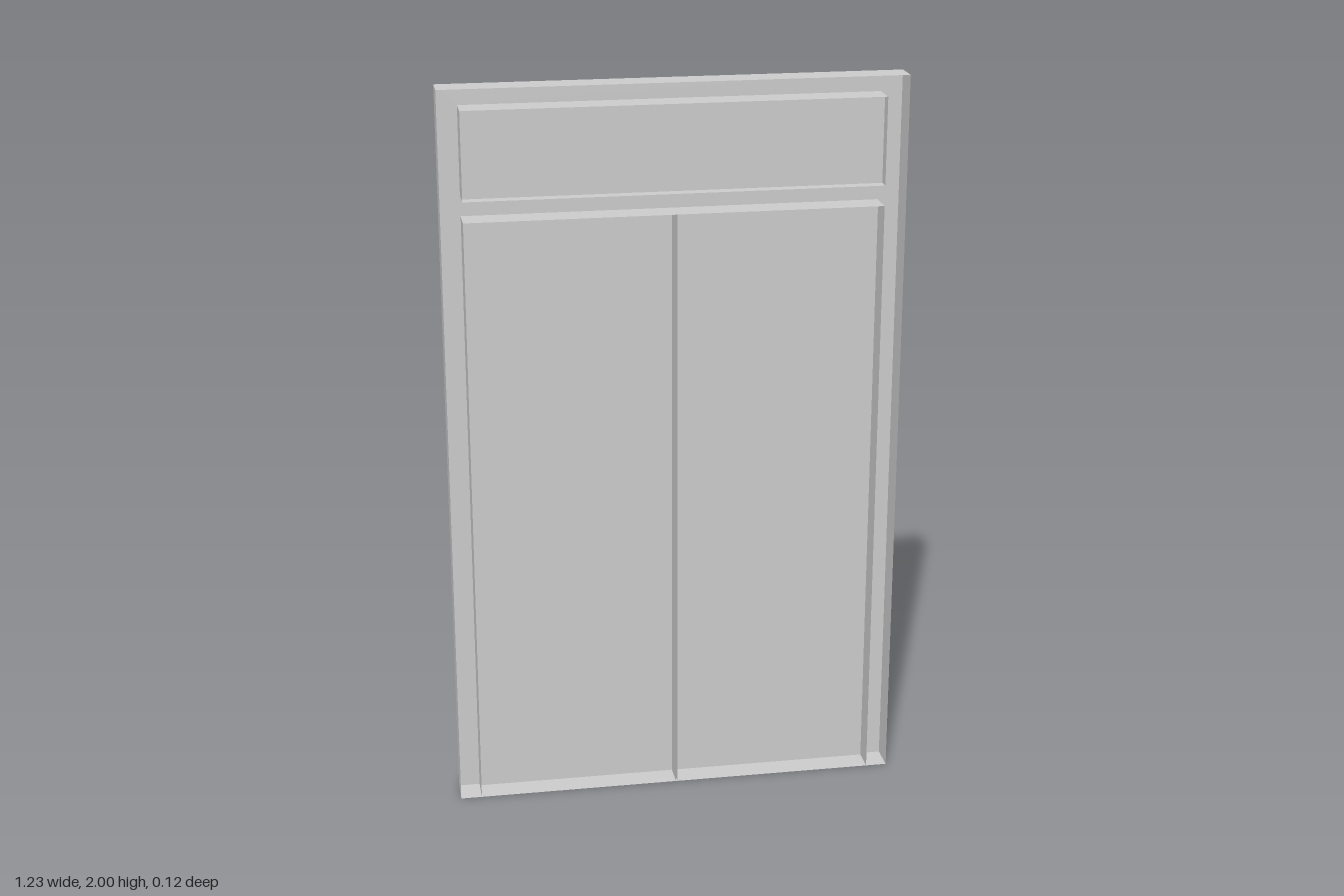
import * as THREE from 'three';

const material = new THREE.MeshStandardMaterial({ color: 0xcccccc, side: THREE.DoubleSide, flatShading: true });

// Depths, from the open front to the knobs at the back
const FRONT = 0.058, TRANSOM = 0.026, LEAF = -0.01, BACK = -0.019;
const PANEL = -0.022, IRON = -0.031, KNOB = -0.058;

// Outline sizes
const W = 0.613, H = 2, IN = 0.555, GAP = 0.002;
const DOOR_TOP = 1.655, LIGHT_LOW = 1.71, LIGHT_TOP = 1.945;

function add(parent, name, geometry) {
  const mesh = new THREE.Mesh(geometry, material);
  mesh.name = name;
  parent.add(mesh);
  return mesh;
}

// Flat sheet facing the back
function sheet(parent, name, x0, x1, y0, y1, z) {
  const g = new THREE.PlaneGeometry(Math.abs(x1 - x0), y1 - y0).rotateY(Math.PI);
  return add(parent, name, g.translate((x0 + x1) / 2, (y0 + y1) / 2, z));
}

// Thin upright wall running in depth
function sideWall(parent, name, x, y0, y1, z0, z1) {
  const g = new THREE.PlaneGeometry(z1 - z0, y1 - y0).rotateY(Math.PI / 2);
  return add(parent, name, g.translate(x, (y0 + y1) / 2, (z0 + z1) / 2));
}

// Thin level wall running in depth
function levelWall(parent, name, y, halfWidth, z0, z1) {
  const g = new THREE.PlaneGeometry(halfWidth * 2, z1 - z0).rotateX(-Math.PI / 2);
  return add(parent, name, g.translate(0, y, (z0 + z1) / 2));
}

// Solid block between two corners
function block(parent, name, x0, x1, y0, y1, z0, z1) {
  const g = new THREE.BoxGeometry(Math.abs(x1 - x0), y1 - y0, z1 - z0);
  return add(parent, name, g.translate((x0 + x1) / 2, (y0 + y1) / 2, (z0 + z1) / 2));
}

function createFrame() {
  const frame = new THREE.Group();
  frame.name = 'frame';

  // Back face: notched at the bottom for the doors, with a hole for the transom
  const face = new THREE.Shape([
    [-W, 0], [-IN, 0], [-IN, DOOR_TOP], [IN, DOOR_TOP], [IN, 0], [W, 0], [W, H], [-W, H],
  ].map(([x, y]) => new THREE.Vector2(x, y)));
  face.holes.push(new THREE.Path([
    [-IN, LIGHT_LOW], [-IN, LIGHT_TOP], [IN, LIGHT_TOP], [IN, LIGHT_LOW],
  ].map(([x, y]) => new THREE.Vector2(x, y))));
  add(frame, 'frameFace', new THREE.ShapeGeometry(face).translate(0, 0, BACK));

  // Outer walls and the reveals round both openings
  for (const s of [-1, 1]) {
    sideWall(frame, 'outerSide', s * W, 0, H, BACK, FRONT);
    sideWall(frame, 'doorReveal', s * IN, 0, DOOR_TOP, BACK, FRONT);
    sideWall(frame, 'transomReveal', s * IN, LIGHT_LOW, LIGHT_TOP, BACK, FRONT);
  }
  levelWall(frame, 'frameTop', H, W, BACK, FRONT);
  levelWall(frame, 'frameBottom', 0, W, BACK, FRONT);
  for (const y of [DOOR_TOP, LIGHT_LOW, LIGHT_TOP]) levelWall(frame, 'railReveal', y, IN, BACK, FRONT);

  sheet(frame, 'transomPane', -IN, IN, LIGHT_LOW, LIGHT_TOP, TRANSOM);
  return frame;
}

// One door leaf; s is the side of the centre line it sits on
function createLeaf(s) {
  const leaf = new THREE.Group();
  leaf.name = s > 0 ? 'leftDoor' : 'rightDoor';

  sheet(leaf, 'doorFace', s * GAP, s * IN, 0, DOOR_TOP, LEAF);
  sideWall(leaf, 'meetingEdge', s * GAP, 0, DOOR_TOP, LEAF, FRONT);

  // Raised panels
  for (const [y0, y1] of [[0.145, 0.76], [0.865, 1.535]]) {
    block(leaf, 'raisedPanel', s * 0.067, s * 0.495, y0, y1, PANEL, LEAF);
  }
  // Strap hinges
  for (const y of [0.235, 1.39]) {
    block(leaf, 'strapHinge', s * 0.23, s * 0.54, y - 0.019, y + 0.019, IRON, LEAF);
  }
  // Handle
  block(leaf, 'handlePlate', s * 0.043, s * 0.093, 0.715, 0.895, IRON, LEAF);
  block(leaf, 'handleKnob', s * 0.053, s * 0.084, 0.775, 0.832, KNOB, IRON);
  return leaf;
}

export function createModel() {
  const model = new THREE.Group();
  model.name = 'doubleDoor';
  model.add(createFrame(), createLeaf(1), createLeaf(-1));
  return model;
}
